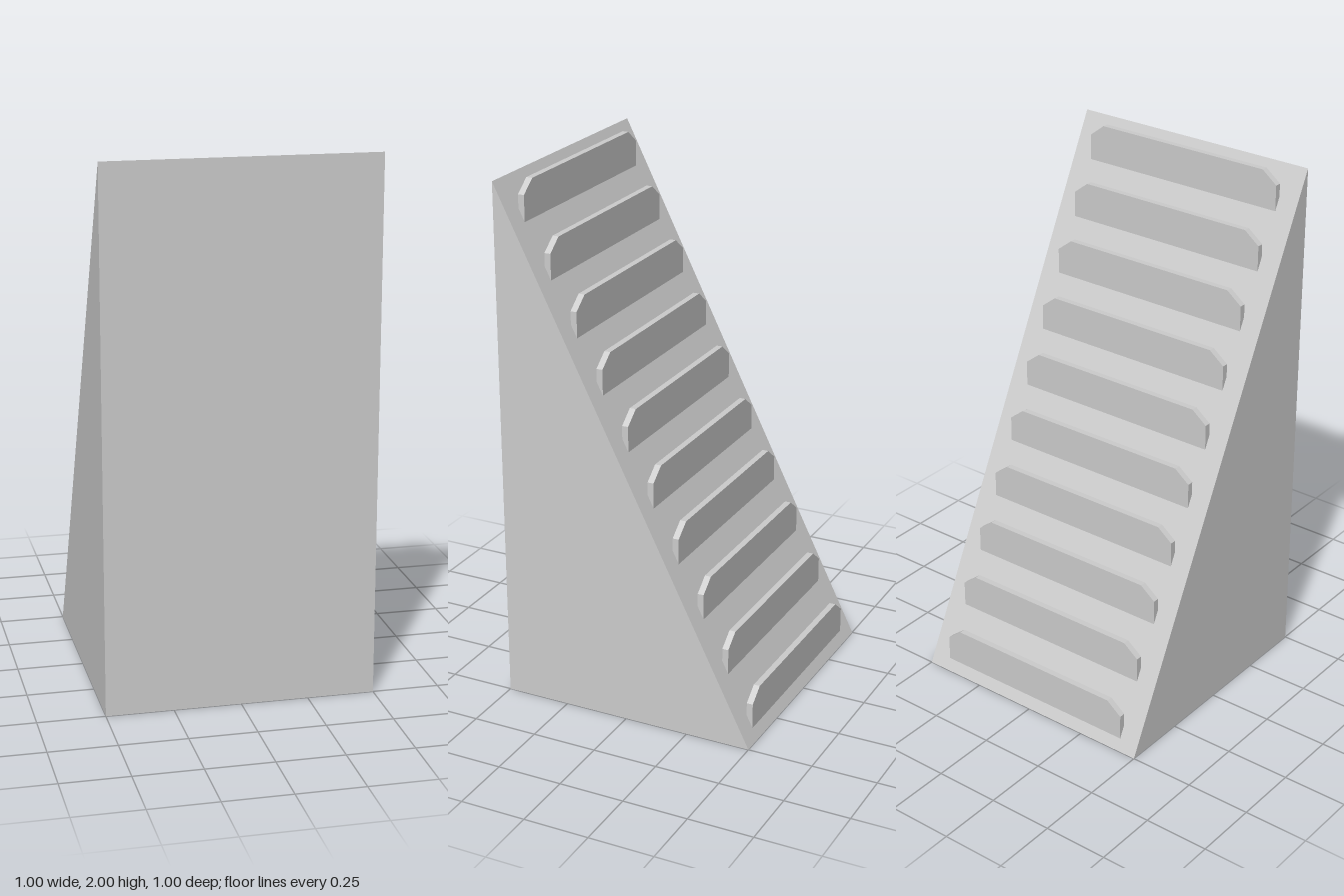
import * as THREE from 'three';

const material = new THREE.MeshStandardMaterial({ color: 0xcccccc, flatShading: true });

// Extrudes a polygon by the given depth, centred on its own plane
function prism(points, depth) {
  const shape = new THREE.Shape(points.map(([x, y]) => new THREE.Vector2(x, y)));
  const geometry = new THREE.ExtrudeGeometry(shape, { depth, bevelEnabled: false });
  return geometry.translate(0, 0, -depth / 2);
}

export function createModel() {
  const group = new THREE.Group();

  // Wedge body: upright front face, slope falling to the back
  const bodyGeometry = prism([[-0.5, 0], [0.5, 0], [0.5, 2]], 1).rotateY(-Math.PI / 2);
  const body = new THREE.Mesh(bodyGeometry, material);
  body.name = 'wedgeBody';
  group.add(body);

  // Upright slats with chamfered top corners, rooted just inside the slope
  const half = 0.42, top = 0.187, bottom = 0.035, cutX = 0.06, cutY = 0.047;
  const slatGeometry = prism([
    [-half, bottom], [half, bottom], [half, top - cutY], [half - cutX, top],
    [-half + cutX, top], [-half, top - cutY],
  ], 0.024);

  const slats = new THREE.Group();
  slats.name = 'slats';
  for (let i = 0; i < 10; i++) {
    const slat = new THREE.Mesh(slatGeometry, material);
    slat.name = `slat${i + 1}`;
    slat.position.set(0, i * 0.2, -0.467 + i * 0.1);
    slats.add(slat);
  }
  group.add(slats);

  return group;
}
